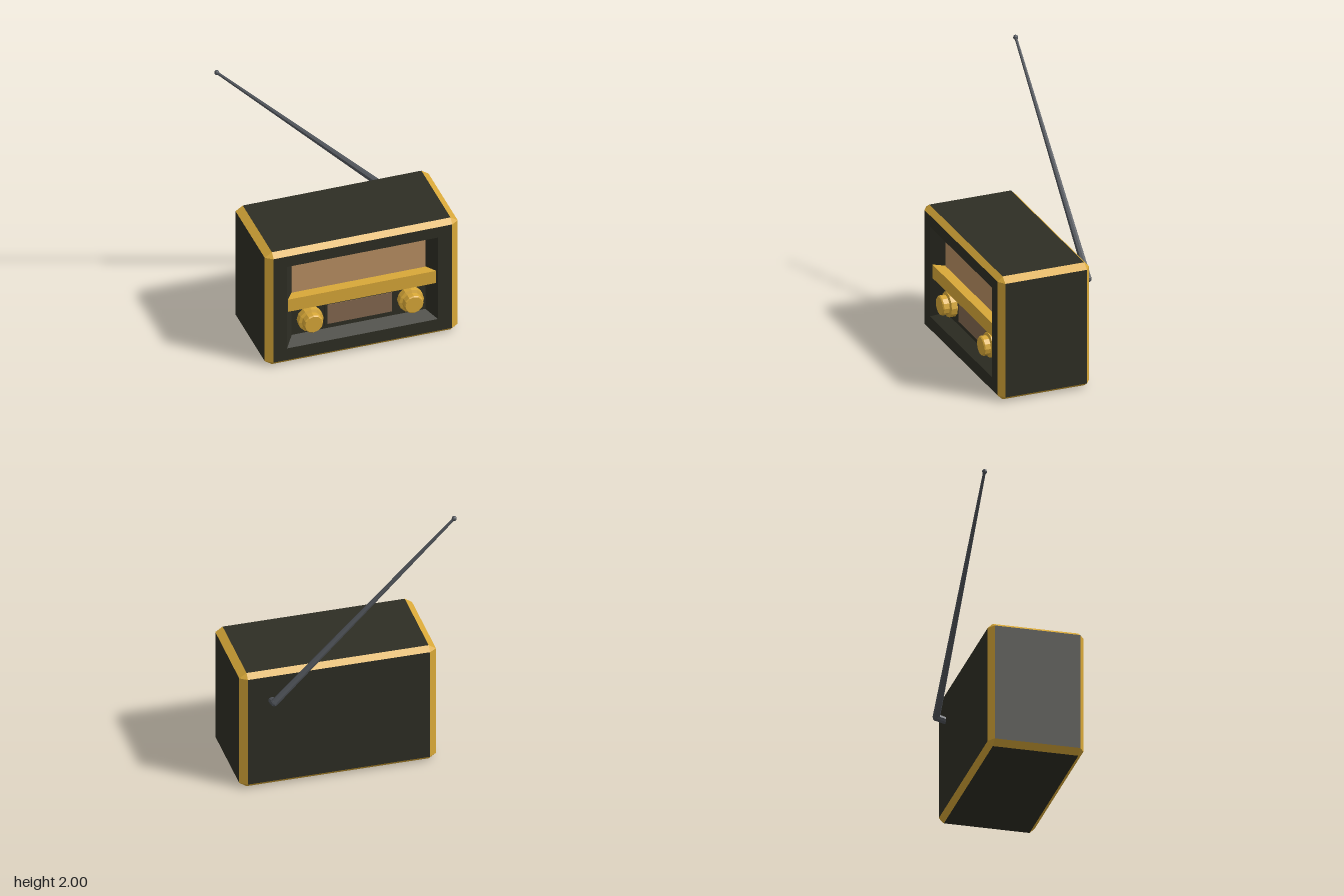
import * as THREE from 'three';

const mat = (name, color, extra = {}) => Object.assign(new THREE.MeshStandardMaterial({ color, flatShading: true, ...extra }), { name });

export function createModel() {
  const radio = new THREE.Group();
  radio.name = 'radio';
  const dark = mat('charcoal case', 0x2e2e24);
  const gold = mat('gold trim', 0xd8a838);
  const tan = mat('speaker tan', 0xb98f62);
  const brown = mat('dial brown', 0x84684f);
  const steel = mat('antenna steel', 0x50545a);

  const add = (name, geometry, material, x = 0, y = 0, z = 0) => {
    const mesh = new THREE.Mesh(geometry, material);
    mesh.name = name;
    mesh.position.set(x, y, z);
    radio.add(mesh);
    return mesh;
  };
  const box = (name, material, x0, x1, y0, y1, z0, z1) =>
    add(name, new THREE.BoxGeometry(x1 - x0, y1 - y0, z1 - z0), material, (x0 + x1) / 2, (y0 + y1) / 2, (z0 + z1) / 2);

  // Convex polygons fanned into triangles, turned away from (or towards) a reference point
  const polygons = (list, ref, inward = false) => {
    const out = [];
    for (const points of list) {
      const p = points.map(q => new THREE.Vector3(...q));
      const n = p[1].clone().sub(p[0]).cross(p[2].clone().sub(p[0]));
      if ((n.dot(p[0].clone().sub(ref)) < 0) !== inward) p.reverse();
      for (let i = 1; i < p.length - 1; i++) out.push(...p[0], ...p[i], ...p[i + 1]);
    }
    const g = new THREE.BufferGeometry();
    g.setAttribute('position', new THREE.Float32BufferAttribute(out, 3));
    g.computeVertexNormals();
    return g;
  };

  // Chamfered case: dark faces, gold bevels and corners
  const centre = new THREE.Vector3(0.058, 0.46, 0.037);
  const half = [0.697, 0.46, 0.338], cut = [0.052, 0.035, 0.036];
  const c = centre.toArray();
  // Point of the corner with signs s that lies on the face of the given axis
  const corner = (s, axis) => s.map((v, i) => c[i] + v * (half[i] - (i === axis ? 0 : cut[i])));
  const faces = [], bevels = [];
  const S = [-1, 1];
  for (let a = 0; a < 3; a++) {
    const b = (a + 1) % 3, d = (a + 2) % 3;
    const signs = (u, v, w) => { const s = [0, 0, 0]; s[a] = u; s[b] = v; s[d] = w; return s; };
    for (const u of S) {
      if (!(a === 2 && u === 1)) {
        faces.push([[-1, -1], [1, -1], [1, 1], [-1, 1]].map(([v, w]) => corner(signs(u, v, w), a)));
      }
      for (const v of S) {
        const s0 = signs(u, v, -1), s1 = signs(u, v, 1);
        bevels.push([corner(s0, a), corner(s1, a), corner(s1, b), corner(s0, b)]);
      }
    }
  }
  for (const x of S) for (const y of S) for (const z of S) bevels.push([0, 1, 2].map(a => corner([x, y, z], a)));
  add('casePanels', polygons(faces, centre), dark);
  add('caseTrim', polygons(bevels, centre), gold);

  // Front panel with its opening
  const zf = 0.375, zb = 0.285;
  const rect = (x0, x1, y0, y1) => [[x0, y0], [x1, y0], [x1, y1], [x0, y1]];
  const path = pts => pts.map(p => new THREE.Vector2(...p));
  const outer = rect(-0.49, 0.6, 0.13, 0.8), inner = rect(-0.425, 0.54, 0.17, 0.76);
  const front = new THREE.Shape(path(rect(-0.587, 0.703, 0.035, 0.885)));
  front.holes.push(new THREE.Path(path(outer)));
  add('frontPanel', new THREE.ShapeGeometry(front), dark, 0, 0, zf);

  // Slanted recess walls and recess back
  const walls = outer.map((p, i) => {
    const j = (i + 1) % 4;
    return [[...p, zf], [...outer[j], zf], [...inner[j], zb], [...inner[i], zb]];
  });
  walls.push(inner.map(p => [...p, zb]));
  add('recess', polygons(walls, new THREE.Vector3(0.055, 0.46, 0.34), true), dark);

  // Speaker, crossbar and tuning dial
  box('speakerPanel', tan, -0.425, 0.54, 0.5, 0.758, zb - 0.004, zb + 0.004);
  box('crossbar', gold, -0.48, 0.59, 0.42, 0.52, zb, 0.362);
  box('dialFrame', dark, -0.19, 0.315, 0.195, 0.375, zb, zb + 0.01);
  box('dialPlate', brown, -0.17, 0.295, 0.212, 0.368, zb + 0.008, zb + 0.014);

  // Two-step knobs
  const knobProfile = [[0.09, 0], [0.09, 0.045], [0.07, 0.052], [0.07, 0.092], [0.063, 0.1], [0, 0.1]];
  for (const [name, x] of [['rightKnob', -0.3], ['leftKnob', 0.425]]) {
    add(name, new THREE.LatheGeometry(path(knobProfile), 12), gold, x, 0.29, zb).rotation.x = Math.PI / 2;
  }

  // Antenna: stub, elbow, tapered rod and tip
  const rod = (name, from, to, r0, r1) => {
    const dir = to.clone().sub(from);
    const mesh = add(name, new THREE.CylinderGeometry(r1, r0, dir.length(), 8), steel);
    mesh.position.copy(from).addScaledVector(dir, 0.5);
    mesh.quaternion.setFromUnitVectors(new THREE.Vector3(0, 1, 0), dir.normalize());
  };
  const elbow = new THREE.Vector3(0.535, 0.71, -0.364), tip = new THREE.Vector3(-0.74, 1.985, -0.364);
  rod('antennaStub', new THREE.Vector3(0.535, 0.69, -0.29), elbow, 0.025, 0.026);
  add('antennaElbow', new THREE.SphereGeometry(0.026, 8, 6), steel, ...elbow);
  rod('antennaRod', elbow, tip, 0.026, 0.01);
  add('antennaTip', new THREE.SphereGeometry(0.018, 8, 6), steel, ...tip);

  return radio;
}
